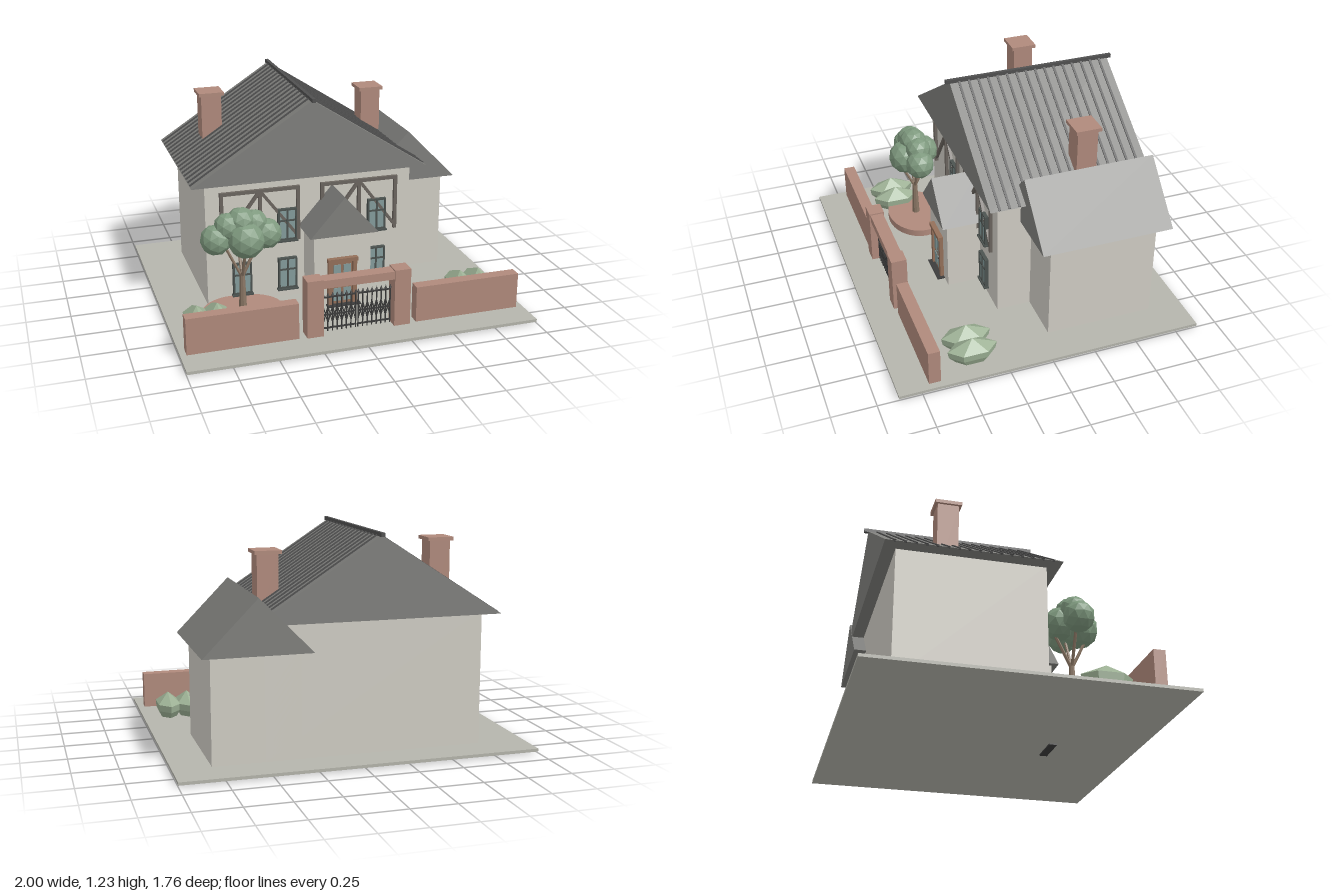
import * as THREE from 'three';

const mat = (color, flat = false) => new THREE.MeshStandardMaterial({ color, flatShading: flat });
const M = {
  ground: mat(0xb5b5ac), wall: mat(0xd0cdc4), roof: mat(0x7f7f7c), slat: mat(0x505050),
  brick: mat(0xb08a7c), timber: mat(0x6b655f), glass: mat(0x849c9c), frame: mat(0x4c5350),
  door: mat(0x94705a), iron: mat(0x3c3c3c), trunk: mat(0x8a7664, true),
  leaf: mat(0x7f9a7f, true), bush: mat(0x9cb094, true),
};

export function createModel() {
  const root = new THREE.Group();

  function add(name, geometry, material, parent = root) {
    const m = new THREE.Mesh(geometry, material);
    m.name = name;
    parent.add(m);
    return m;
  }
  // Box given by its limits on each axis
  function box(name, x0, x1, y0, y1, z0, z1, material, parent) {
    const m = add(name, new THREE.BoxGeometry(x1 - x0, y1 - y0, z1 - z0), material, parent);
    m.position.set((x0 + x1) / 2, (y0 + y1) / 2, (z0 + z1) / 2);
    return m;
  }
  // Straight bar between two points in a plane of constant z
  function bar(name, xa, ya, xb, yb, z, width, depth, material, parent) {
    const m = add(name, new THREE.BoxGeometry(Math.hypot(xb - xa, yb - ya), width, depth), material, parent);
    m.position.set((xa + xb) / 2, (ya + yb) / 2, z);
    m.rotation.z = Math.atan2(yb - ya, xb - xa);
    return m;
  }
  // Gable roof: triangular prism running along z
  function gable(name, x0, x1, y0, y1, z0, z1) {
    const s = new THREE.Shape([
      new THREE.Vector2(x0, y0), new THREE.Vector2(x1, y0), new THREE.Vector2((x0 + x1) / 2, y1)]);
    const g = new THREE.ExtrudeGeometry(s, { depth: z1 - z0, bevelEnabled: false });
    add(name, g, M.roof).position.z = z0;
  }
  function group(name) {
    const g = new THREE.Group();
    g.name = name;
    root.add(g);
    return g;
  }

  // Plot
  box('ground', -1, 1, 0.008, 0.025, -0.88, 0.88, M.ground);
  box('doorStep', -0.08, 0.12, 0, 0.032, 0.35, 0.395, M.iron);

  // House bodies and roofs
  box('mainHouse', -0.73, 0.5, 0.02, 0.78, -0.68, 0.15, M.wall);
  box('sideWing', 0.3, 0.79, 0.02, 0.63, -0.68, -0.05, M.wall);
  box('porch', -0.15, 0.19, 0.02, 0.465, 0.1, 0.35, M.wall);
  gable('mainRoof', -0.815, 0.58, 0.77, 1.22, -0.75, 0.22);
  gable('wingRoof', 0.245, 0.845, 0.615, 0.92, -0.752, 0.015);
  gable('porchRoof', -0.182, 0.225, 0.46, 0.69, 0.1, 0.385);
  box('ridgeBeam', -0.126, -0.106, 1.212, 1.234, -0.775, 0.245, M.slat);

  // Raised strips down both slopes of the main roof
  const slats = group('roofStrips');
  for (let i = 0; i < 16; i++) {
    const z = 0.165 - i * 0.0575;
    bar('roofStrip', -0.812, 0.772, -0.1175, 1.22, z, 0.012, 0.013, M.slat, slats);
    bar('roofStrip', 0.577, 0.772, -0.1175, 1.22, z, 0.012, 0.013, M.slat, slats);
  }

  // Chimneys
  for (const [x, top] of [[-0.575, 1.145], [0.42, 1.103]]) {
    const c = group('chimney');
    box('chimneyStack', x - 0.06, x + 0.06, 0.7, top, -0.44, -0.32, M.brick, c);
    box('chimneyCap', x - 0.075, x + 0.075, top, top + 0.02, -0.455, -0.305, M.brick, c);
  }

  // Timber framing on the front wall
  for (const x of [-0.413, 0.183]) {
    const t = group('timberFrame');
    const z = 0.158, h = 0.225, d = 0.022;
    bar('topBeam', x - h - 0.01, 0.7, x + h + 0.01, 0.7, z, 0.02, d, M.timber, t);
    bar('centrePost', x, 0.4, x, 0.7, z, 0.02, d, M.timber, t);
    for (const s of [-1, 1]) {
      bar('sidePost', x + s * h, 0.38, x + s * h, 0.7, z, 0.02, d, M.timber, t);
      bar('brace', x, 0.7, x + s * h, 0.4, z, 0.018, d - 0.004, M.timber, t);
    }
  }

  // Windows with bars and sill
  for (const [x, y] of [[-0.255, 0.385], [0.292, 0.385], [-0.527, 0.08], [-0.255, 0.08], [0.292, 0.08]]) {
    const w = group('window'), h = 0.19;
    box('glass', x - 0.05, x + 0.05, y, y + h, 0.145, 0.166, M.glass, w);
    for (const dx of [-0.051, 0, 0.051])
      box('upright', x + dx - 0.005, x + dx + 0.005, y, y + h, 0.15, 0.173, M.frame, w);
    for (const dy of [0.005, 0.12, h - 0.003])
      box('crossbar', x - 0.056, x + 0.056, y + dy - 0.005, y + dy + 0.005, 0.15, 0.172, M.frame, w);
    box('sill', x - 0.062, x + 0.062, y - 0.01, y, 0.15, 0.18, M.frame, w);
  }

  // Front door
  const door = group('frontDoor');
  box('doorLeaf', -0.045, 0.075, 0.025, 0.29, 0.34, 0.36, M.door, door);
  for (const x of [-0.06, 0.09]) box('doorPost', x - 0.012, x + 0.012, 0.025, 0.3, 0.34, 0.372, M.door, door);
  box('doorHead', -0.075, 0.105, 0.295, 0.318, 0.34, 0.38, M.door, door);
  for (const x of [-0.015, 0.045])
    for (const [y0, y1] of [[0.05, 0.13], [0.15, 0.275]])
      box('doorPanel', x - 0.022, x + 0.022, y0, y1, 0.345, 0.364, M.glass, door);
  const knob = add('doorKnob', new THREE.SphereGeometry(0.007, 10, 8), M.iron, door);
  knob.position.set(0.068, 0.145, 0.37);

  // Garden wall and gateway
  box('gardenWall', -0.965, -0.345, 0.02, 0.235, 0.636, 0.703, M.brick);
  box('gardenWall', 0.337, 0.96, 0.02, 0.235, 0.636, 0.703, M.brick);
  box('gatePost', -0.302, -0.208, 0.02, 0.36, 0.625, 0.715, M.brick);
  box('gatePost', 0.202, 0.296, 0.02, 0.36, 0.625, 0.715, M.brick);
  box('gateLintel', -0.21, 0.205, 0.305, 0.352, 0.632, 0.708, M.brick);

  // Iron gate in two leaves
  const gate = group('ironGate');
  for (const side of [-1, 1]) {
    const cx = -0.003 + side * 0.101;
    for (const y of [0.05, 0.13, 0.235])
      bar('gateRail', cx - 0.097, y, cx + 0.097, y, 0.67, 0.008, 0.008, M.iron, gate);
    for (let i = 0; i < 8; i++) {
      const x = cx - 0.094 + i * 0.0268;
      add('picket', new THREE.CylinderGeometry(0.004, 0.004, 0.215, 6), M.iron, gate).position.set(x, 0.138, 0.67);
      add('picketTip', new THREE.ConeGeometry(0.008, 0.022, 6), M.iron, gate).position.set(x, 0.253, 0.67);
      if (i === 7) continue;
      bar('lattice', x, 0.08, x + 0.0268, 0.18, 0.67, 0.005, 0.005, M.iron, gate);
      bar('lattice', x, 0.18, x + 0.0268, 0.08, 0.67, 0.005, 0.005, M.iron, gate);
    }
  }

  // Round flower bed
  const bed = add('flowerBed', new THREE.CylinderGeometry(0.23, 0.23, 0.055, 40), M.brick);
  bed.scale.z = 0.79;
  bed.position.set(-0.567, 0.04, 0.325);

  // Tree
  const tree = group('tree');
  tree.position.set(-0.567, 0, 0.33);
  add('trunk', new THREE.CylinderGeometry(0.015, 0.024, 0.25, 8), M.trunk, tree).position.y = 0.165;
  for (let i = 0; i < 4; i++) {
    const a = (i * Math.PI) / 2;
    const path = new THREE.LineCurve3(
      new THREE.Vector3(0, 0.26, 0), new THREE.Vector3(Math.cos(a) * 0.09, 0.45, Math.sin(a) * 0.09));
    add('branch', new THREE.TubeGeometry(path, 1, 0.009, 6), M.trunk, tree);
  }
  for (const [x, y, z, r] of [
    [0, 0.595, 0, 0.085], [0.015, 0.505, 0.055, 0.105], [-0.145, 0.505, 0, 0.088], [0.145, 0.51, 0, 0.088],
    [0, 0.52, -0.06, 0.095], [-0.075, 0.575, 0, 0.08], [0.075, 0.575, -0.01, 0.08]])
    add('foliage', new THREE.IcosahedronGeometry(r, 1), M.leaf, tree).position.set(x, y, z);

  // Faceted bushes
  const profile = [[0, 0.022], [0.095, 0.022], [0.135, 0.065], [0.142, 0.105], [0, 0.168]]
    .map(([r, y]) => new THREE.Vector2(r, y));
  for (const x of [-0.85, -0.735, 0.73, 0.845]) {
    const b = add('bush', new THREE.LatheGeometry(profile, 6), M.bush);
    b.scale.x = 0.535;
    b.position.set(x, 0, 0.42);
  }

  return root;
}
